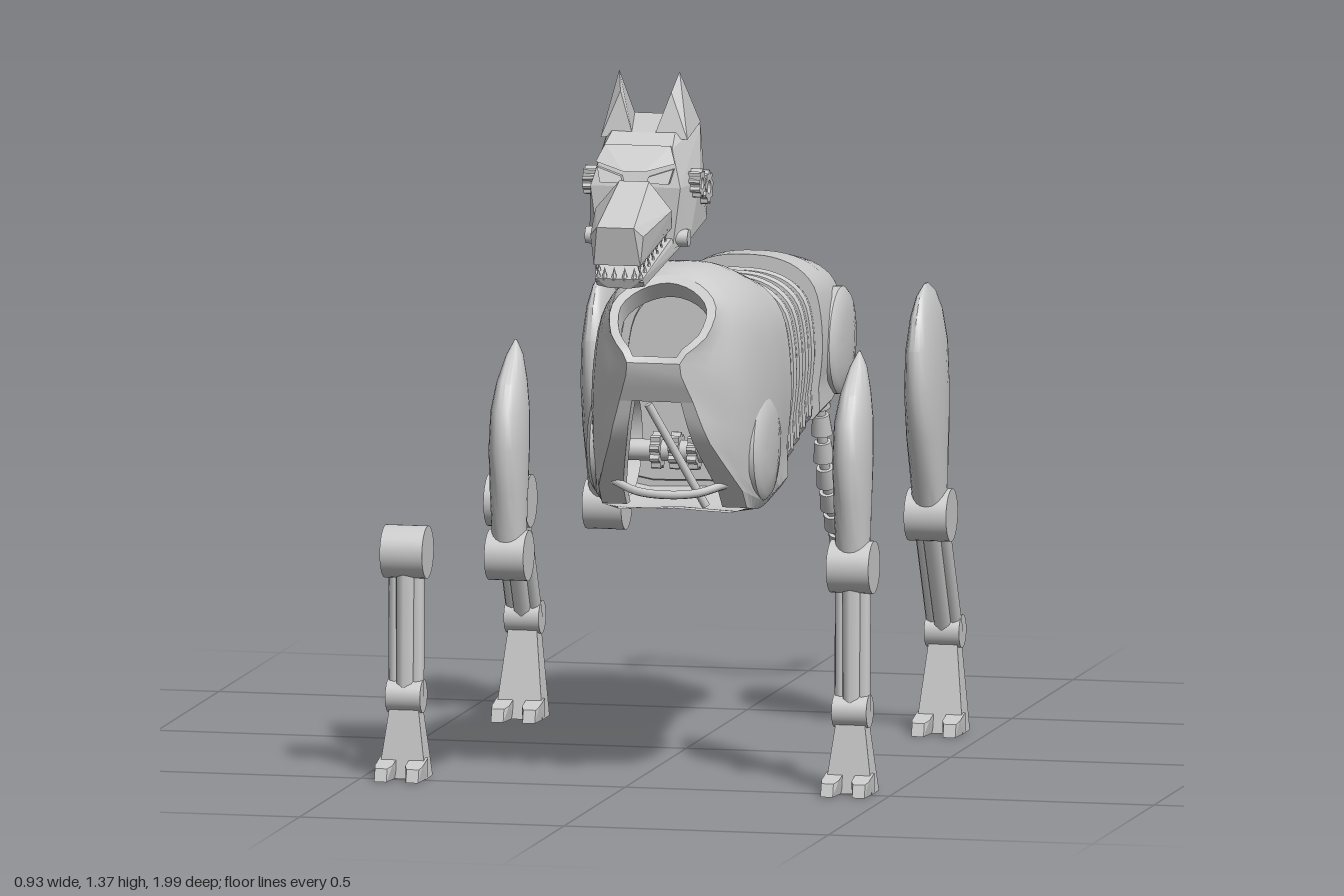
import * as THREE from 'three';
import { toCreasedNormals } from 'three/addons/utils/BufferGeometryUtils.js';
import { ConvexGeometry } from 'three/addons/geometries/ConvexGeometry.js';

const V = (x, y, z) => new THREE.Vector3(x, y, z);
const smoothMat = new THREE.MeshStandardMaterial({ color: 0xcccccc, side: THREE.DoubleSide });
const flatMat = new THREE.MeshStandardMaterial({ color: 0xcccccc, flatShading: true });

function add(parent, name, geo, mat = smoothMat, pos = [0, 0, 0]) {
  const m = new THREE.Mesh(geo, mat);
  m.name = name;
  m.position.set(...pos);
  parent.add(m);
  return m;
}

function group(parent, name, x = 0) {
  const g = new THREE.Group();
  g.name = name;
  g.position.x = x;
  parent.add(g);
  return g;
}

// Skin through loops of points; optional flat caps
function loft(loops, { closed = true, capA = false, capB = false, crease = 0.6 } = {}) {
  const n = loops[0].length, pts = loops.flat(), idx = [];
  for (let i = 0; i < loops.length - 1; i++) {
    for (let j = 0; j < (closed ? n : n - 1); j++) {
      const a = i * n + j, b = i * n + (j + 1) % n;
      idx.push(a, a + n, b, b, a + n, b + n);
    }
  }
  const cap = (loop, base, flip) => {
    const c = pts.length;
    pts.push(loop.reduce((s, p) => s.add(p), V(0, 0, 0)).divideScalar(n));
    for (let j = 0; j < n; j++) {
      const a = base + j, b = base + (j + 1) % n;
      flip ? idx.push(c, b, a) : idx.push(c, a, b);
    }
  };
  if (capA) cap(loops[0], 0, false);
  if (capB) cap(loops[loops.length - 1], (loops.length - 1) * n, true);
  const g = new THREE.BufferGeometry().setFromPoints(pts);
  g.setIndex(idx);
  return toCreasedNormals(g, crease);
}

// Mirrored half outline (top to bottom) smoothed into a 48 point loop
function outline(half, z) {
  const p = half.map(a => V(a[0], a[1], a[2] ?? z));
  const mirrored = p.slice(1, -1).reverse().map(q => V(-q.x, q.y, q.z));
  const curve = new THREE.CatmullRomCurve3([...p, ...mirrored], true, 'catmullrom', 0.5);
  return Array.from({ length: 48 }, (_, i) => curve.getPoint(i / 48));
}

const D = [[0, 1], [.37, .985], [.68, .925], [.89, .815], [.98, .64], [1, .42], [.95, .2], [.88, .01], [0, 0]];
const section = (z, top, bottom, w) => outline(D.map(([x, y]) => [x * w, bottom + y * (top - bottom)]), z);

const hull = half => new ConvexGeometry(half.flatMap(([x, y, z]) => [V(x, y, z), V(-x, y, z)]));
const cylX = (r, len, seg = 32) => new THREE.CylinderGeometry(r, r, len, seg).rotateZ(Math.PI / 2);

function rod(parent, name, a, b, r, r2 = r, seg = 12) {
  const d = b.clone().sub(a);
  const m = add(parent, name, new THREE.CylinderGeometry(r2, r, d.length(), seg));
  m.position.copy(a).addScaledVector(d, 0.5);
  m.quaternion.setFromUnitVectors(V(0, 1, 0), d.normalize());
  return m;
}

// Toothed wheel with its axle along x
function gear(r, depth, teeth = 9) {
  const s = new THREE.Shape();
  for (let i = 0; i < teeth * 4; i++) {
    const a = (i / (teeth * 4)) * Math.PI * 2, q = i % 4 < 2 ? r : r * 0.8;
    s[i ? 'lineTo' : 'moveTo'](Math.cos(a) * q, Math.sin(a) * q);
  }
  s.holes.push(new THREE.Path().absarc(0, 0, r * 0.4, 0, Math.PI * 2, true));
  return new THREE.ExtrudeGeometry(s, { depth, bevelEnabled: false }).translate(0, 0, -depth / 2).rotateY(Math.PI / 2);
}

function buildBody(root) {
  const body = group(root, 'body', 0.097);
  // Chest shell, open at the neck and front
  const keys = [
    section(.265, .935, .53, .163),
    outline([[0, .972], [.06, .965], [.115, .93], [.15, .87], [.163, .79], [.165, .7], [.158, .6], [.142, .518], [0, .513]], .41),
    outline([[0, .975, .5], [.058, .965, .51], [.105, .93, .53], [.13, .88, .55], [.135, .8, .58], [.143, .71, .565], [.146, .61, .535], [.142, .522, .47], [0, .522, .47]]),
    outline([[0, .965, .55], [.06, .95, .565], [.098, .915, .6], [.09, .865, .645], [.05, .82, .69], [.07, .745, .665], [.095, .665, .635], [.12, .585, .585], [.137, .53, .515], [0, .525, .515]].filter((_, i) => i !== 7)),
  ];
  const cols = keys[0].map((_, j) => new THREE.CatmullRomCurve3(keys.map(k => k[j])));
  const rings = Array.from({ length: 13 }, (_, i) => cols.map(c => c.getPoint(i / 12)));
  add(body, 'chestShell', loft(rings, { capA: true }));
  // Neck rim turned inward
  const front = keys[3];
  const rim = [...front.slice(36), ...front.slice(0, 13)];
  const mid = V(0, .885, .625);
  const lip = rim.map(p => p.clone().lerp(mid, 0.17));
  add(body, 'neckRim', loft([rim, lip, lip.map(p => p.clone().add(V(0, -.03, -.03)))]));
  // Breast panel and the two struts beside the opening
  const edge = front.slice(12, 16);
  add(body, 'breastPanel', loft([edge, edge.map(p => V(-p.x, p.y, p.z))], { closed: false }));
  for (const s of [1, -1]) {
    const e = front.slice(15, 22).map(p => V(p.x * s, p.y, p.z));
    const inner = e.map(p => V(p.x * 0.66, p.y, p.z));
    add(body, 'breastStrut', loft([e, inner, inner.map(p => V(p.x, p.y, p.z - .03))], { closed: false }));
  }
  // Mechanism inside the chest
  rod(body, 'diagonalRod', V(-.03, .73, .6), V(.065, .535, .54), .008);
  add(body, 'chestAxle', cylX(.02, .2), smoothMat, [0, .63, .5]);
  for (const x of [-.035, 0, .035]) add(body, 'chestGear', gear(.035, .018), flatMat, [x, .63, .5]);
  const arc = new THREE.CatmullRomCurve3([V(-.11, .58, .55), V(-.05, .562, .575), V(.05, .562, .575), V(.11, .58, .55)]);
  add(body, 'curvedBar', new THREE.TubeGeometry(arc, 16, .008, 8));
  // Overlapping waist bands
  for (let i = 0; i < 6; i++) {
    const z = .275 - i * .057, top = .912 - i * .003, bottom = .54 + i * .013, w = .15 - i * .002;
    add(body, 'waistBand', loft([section(z - .06, top - .012, bottom + .014, w - .01), section(z - .012, top, bottom, w), section(z, top - .004, bottom + .004, w - .003)], { capA: true, capB: true, crease: 0.4 }));
  }
  // Hip shell with a recessed tail socket
  const hip = [[-.34, .768, .715, .042], [-.386, .768, .715, .042], [-.388, .785, .702, .06], [-.372, .822, .69, .088], [-.345, .85, .675, .11], [-.3, .872, .655, .13], [-.24, .892, .64, .143], [-.15, .91, .62, .15], [-.062, .915, .608, .146]];
  add(body, 'hipShell', loft(hip.map(a => section(...a)), { capA: true, capB: true }));
  // Shoulder and hip discs
  for (const s of [1, -1]) {
    for (const [name, y, z, x] of [['shoulderDisc', .635, .44, .171], ['hipDisc', .74, -.2, .166]]) {
      const prof = [[0, 0], [.05, -.002], [.09, -.008], [.1, -.016], [.1, -.07]].map(p => new THREE.Vector2(...p));
      const g = toCreasedNormals(new THREE.LatheGeometry(prof, 40), 0.6).rotateZ(-s * Math.PI / 2);
      add(body, name, g, smoothMat, [s * x, y, z]);
    }
  }
}

function buildHead(root) {
  const head = group(root, 'head', 0.097);
  add(head, 'skull', hull([[.05, 1.1, .61], [.095, 1.09, .66], [.045, 1.28, .645], [.085, 1.265, .67], [.06, 1.262, .77], [.065, 1.24, .815], [.085, 1.17, .835], [.1, 1.17, .74], [.095, 1.07, .8], [.07, 1.055, .835]]), flatMat);
  const ear = [[.057, 1.37, .72], [.048, 1.335, .75], [.02, 1.255, .77], [.082, 1.25, .765], [.085, 1.27, .67], [.045, 1.28, .645]];
  for (const s of [1, -1]) {
    add(head, 'ear', new ConvexGeometry(ear.map(p => V(p[0] * s, p[1], p[2]))), flatMat);
    const eye = [[.022, 1.178], [.065, 1.178], [.072, 1.205], [.026, 1.19]];
    add(head, 'eye', new ConvexGeometry(eye.flatMap(([x, y]) => [V(x * s, y, .85 - (y - 1.17) * .4), V(x * s, y, .8)])), flatMat);
    add(head, 'cheekGearSmall', gear(.027, .03), flatMat, [s * .096, 1.17, .765]);
    add(head, 'cheekGearLarge', gear(.032, .03), flatMat, [s * .096, 1.155, .71]);
    add(head, 'cheekPivot', cylX(.016, .03), smoothMat, [s * .082, 1.075, .815]);
  }
  add(head, 'brow', hull([[.062, 1.245, .815], [.075, 1.215, .836], [.02, 1.2, .85], [.06, 1.24, .79]]), flatMat);
  add(head, 'snout', hull([[.028, 1.182, .845], [.072, 1.13, .85], [.068, 1.095, .835], [.035, 1.117, 1], [.05, 1.1, .987], [.044, 1.045, .985]]), flatMat);
  add(head, 'lowerJaw', hull([[.045, 1.018, .972], [.045, 1.003, .955], [.02, 1, .965], [.068, 1.075, .84], [.068, 1.042, .835], [.08, 1.085, .79], [.08, 1.06, .79]]), flatMat);
  // Teeth along both jaws
  for (const s of [1, -1]) {
    for (let i = 0; i < 7; i++) {
      const k = i / 6, z = .975 - k * .12, x = s * (.04 + .02 * k);
      add(head, 'upperTooth', new THREE.ConeGeometry(.007, .024, 6).rotateX(Math.PI), flatMat, [x, 1.042 + k * .042, z]);
      add(head, 'lowerTooth', new THREE.ConeGeometry(.007, .022, 6), flatMat, [x, 1.024 + k * .042, z - .01]);
    }
    for (const x of [.01, .028]) add(head, 'frontTooth', new THREE.ConeGeometry(.007, .024, 6), flatMat, [s * x, 1.027, .965]);
  }
}

// Upper leg stations: y, front z, back z, half thickness
const FRONT = {
  upper: [[.812, .402, .396, .002], [.785, .435, .383, .015], [.74, .485, .377, .026], [.69, .515, .377, .033], [.62, .525, .382, .035], [.54, .51, .4, .034], [.47, .495, .412, .032], [.42, .485, .42, .032]],
  knee: [.418, .453], ankle: [.15, .457],
};
const BACK = {
  upper: [[.855, -.165, -.19, .002], [.835, -.125, -.235, .013], [.8, -.1, -.265, .023], [.74, -.08, -.288, .031], [.66, -.08, -.288, .035], [.57, -.11, -.276, .035], [.48, -.155, -.255, .033], [.42, -.18, -.25, .032]],
  knee: [.418, -.217], ankle: [.185, -.335],
};

function buildLeg(root, name, spec, upperX, lowerX) {
  const upper = group(root, name + 'Upper', upperX), lower = group(root, name + 'Lower', lowerX);
  const [ky, kz] = spec.knee, [ay, az] = spec.ankle;
  const loops = spec.upper.map(([y, z0, z1, h]) => Array.from({ length: 24 }, (_, i) => {
    const a = i / 24 * Math.PI * 2, c = Math.cos(a);
    return V(Math.sign(c) * Math.abs(c) ** .85 * h, y, (z0 + z1) / 2 + Math.sin(a) * (z0 - z1) / 2);
  }));
  add(upper, 'thigh', loft(loops, { capA: true, capB: true, crease: 0.7 }));
  add(upper, 'kneeSocket', cylX(.047, .074), smoothMat, [0, ky, kz]);
  add(lower, 'kneeJoint', cylX(.049, .08), smoothMat, [0, ky, kz]);
  // Shin: a core between two slim rails
  const k = V(0, ky, kz), a = V(0, ay, az);
  rod(lower, 'shin', k, a, .028, .026, 8).scale.x = .75;
  for (const s of [1, -1]) rod(lower, 'shinRail', V(s * .02, ky, kz), V(s * .02, ay, az), .014, .014, 8);
  add(lower, 'ankleJoint', cylX(.031, .066), smoothMat, [0, ay, az]);
  // Foot with two toes
  const fz = az === FRONT.ankle[1] ? az : az + .015, h = ay - .01;
  add(lower, 'foot', hull([[.026, h, az + .018], [.026, h, az - .018], [.034, .05, fz + .022], [.045, 0, fz + .035], [.044, 0, fz - .027], [.034, .05, fz - .024]]), flatMat);
  for (const s of [1, -1]) {
    const toe = [];
    for (const x of [.012, .045]) toe.push(V(x * s, 0, fz + .015), V(x * s, .038, fz + .015), V(x * s, .028, fz + .06), V((x * .7 + .01) * s, .024, fz + .076), V((x * .7 + .01) * s, 0, fz + .083));
    add(lower, 'toe', new ConvexGeometry(toe), flatMat);
  }
  return upper;
}

function buildTail(root) {
  const tail = group(root, 'tail', 0.097);
  const path = new THREE.CatmullRomCurve3([[.79, -.485], [.79, -.525], [.76, -.58], [.665, -.625], [.56, -.667], [.42, -.715], [.32, -.78], [.255, -.86], [.235, -.91]].map(([y, z]) => V(0, y, z)));
  add(tail, 'tailCore', new THREE.TubeGeometry(path, 60, .01, 10));
  for (let i = 0; i < 13; i++) {
    const t = .04 + i * .073;
    rod(tail, 'tailSegment', path.getPointAt(t), path.getPointAt(t + .052), .016, .02, 16);
  }
  const prof = [[0, 0], [.014, .002], [.022, .025], [.014, .062], [0, .1]].map(p => new THREE.Vector2(...p));
  const tip = add(tail, 'tailTip', new THREE.LatheGeometry(prof, 16), smoothMat, [0, .24, -.9]);
  tip.quaternion.setFromUnitVectors(V(0, 1, 0), V(0, -.038, -.095).normalize());
}

export function createModel() {
  const root = new THREE.Group();
  root.name = 'mechanicalDog';
  buildBody(root);
  buildHead(root);
  buildTail(root);
  // Left legs are joined, right legs are pulled apart
  buildLeg(root, 'leftFrontLeg', FRONT, .42, .42);
  buildLeg(root, 'leftBackLeg', BACK, .412, .412);
  buildLeg(root, 'rightFrontLeg', FRONT, -.23, -.424);
  const thigh = buildLeg(root, 'rightBackLeg', BACK, -.2, -.383);
  // Hip gear and its peg
  add(thigh, 'hipGear', gear(.052, .02, 10), flatMat, [.037, .75, -.2]);
  add(thigh, 'hipPeg', cylX(.01, .07, 16), smoothMat, [.052, .75, -.2]);
  add(thigh, 'hipHub', cylX(.025, .025, 24), smoothMat, [.035, .75, -.2]);
  return root;
}
